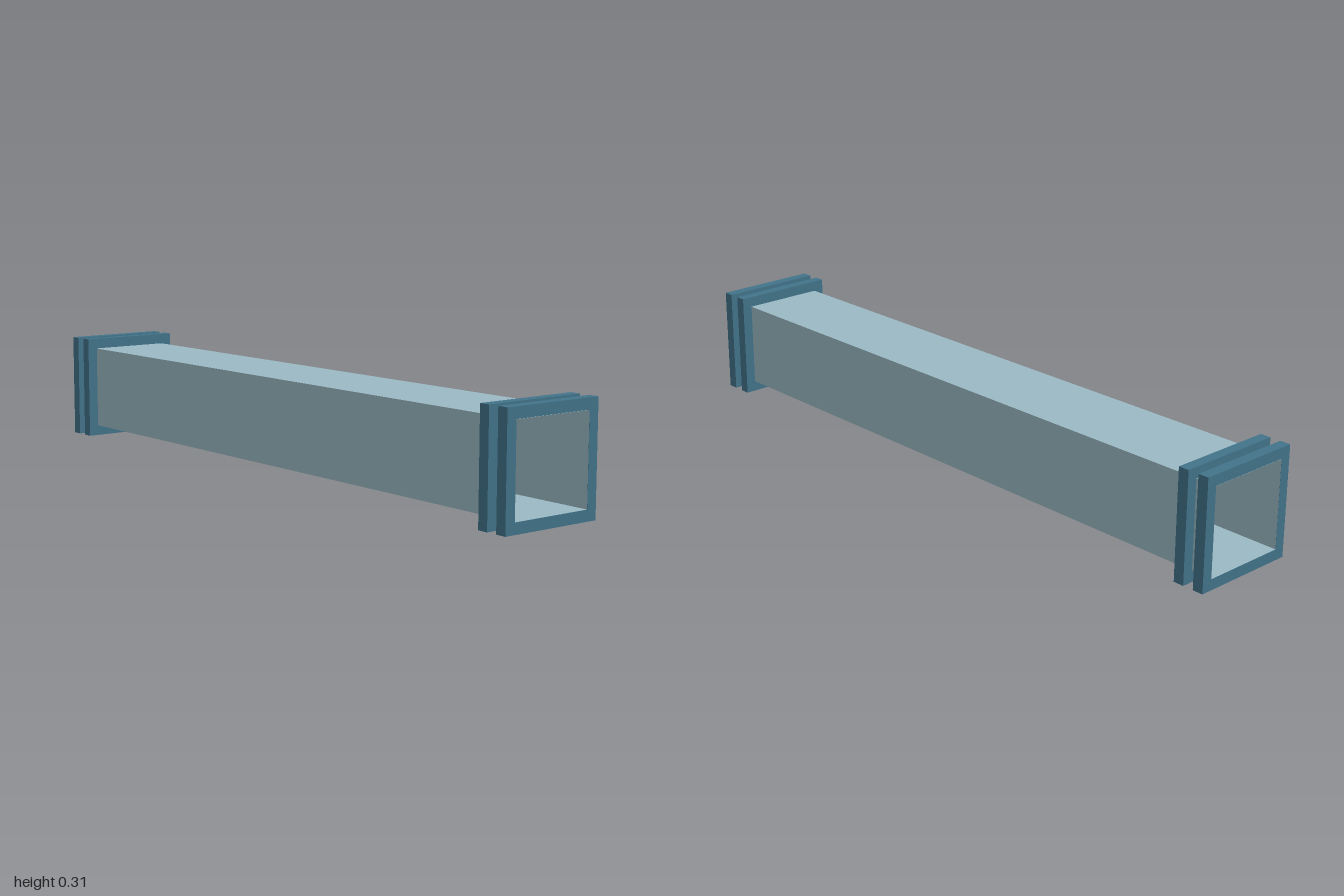
import * as THREE from 'three';

const CENTER_Y = 0.15625;

// Square outline centred on the duct axis
function square(Type, half) {
  const s = new Type();
  s.moveTo(-half, -half);
  s.lineTo(half, -half);
  s.lineTo(half, half);
  s.lineTo(-half, half);
  s.closePath();
  return s;
}

export function createModel() {
  const group = new THREE.Group();
  group.name = 'squareDuct';

  const ductMetal = new THREE.MeshStandardMaterial({ color: 0x9bbac5, side: THREE.DoubleSide });
  ductMetal.name = 'pale blue sheet';
  const flangeMetal = new THREE.MeshStandardMaterial({ color: 0x42738a });
  flangeMetal.name = 'dark blue flange';

  // Thin open-ended duct: four sheet walls
  const duct = new THREE.Group();
  duct.name = 'duct';
  duct.position.y = CENTER_Y;
  const half = 0.125;
  ['topWall', 'rightWall', 'bottomWall', 'leftWall'].forEach((name, i) => {
    const geo = new THREE.PlaneGeometry(half * 2, 2);
    geo.rotateX(-Math.PI / 2).translate(0, half, 0).rotateZ(i * Math.PI / 2);
    const wall = new THREE.Mesh(geo, ductMetal);
    wall.name = name;
    duct.add(wall);
  });
  group.add(duct);

  // A pair of square flange rings at each end, clear of the sheet by a hair
  const thickness = 0.03125;
  const outline = square(THREE.Shape, 0.15625);
  outline.holes.push(square(THREE.Path, half + 0.0005));
  const ringGeo = new THREE.ExtrudeGeometry(outline, { depth: thickness, bevelEnabled: false });
  ringGeo.translate(0, 0, -thickness / 2);
  for (const [end, sign] of [['front', 1], ['back', -1]]) {
    for (const [place, z] of [['Outer', 0.984375], ['Inner', 0.921875]]) {
      const ring = new THREE.Mesh(ringGeo, flangeMetal);
      ring.name = end + place + 'Flange';
      ring.position.set(0, CENTER_Y, sign * z);
      group.add(ring);
    }
  }
  return group;
}
